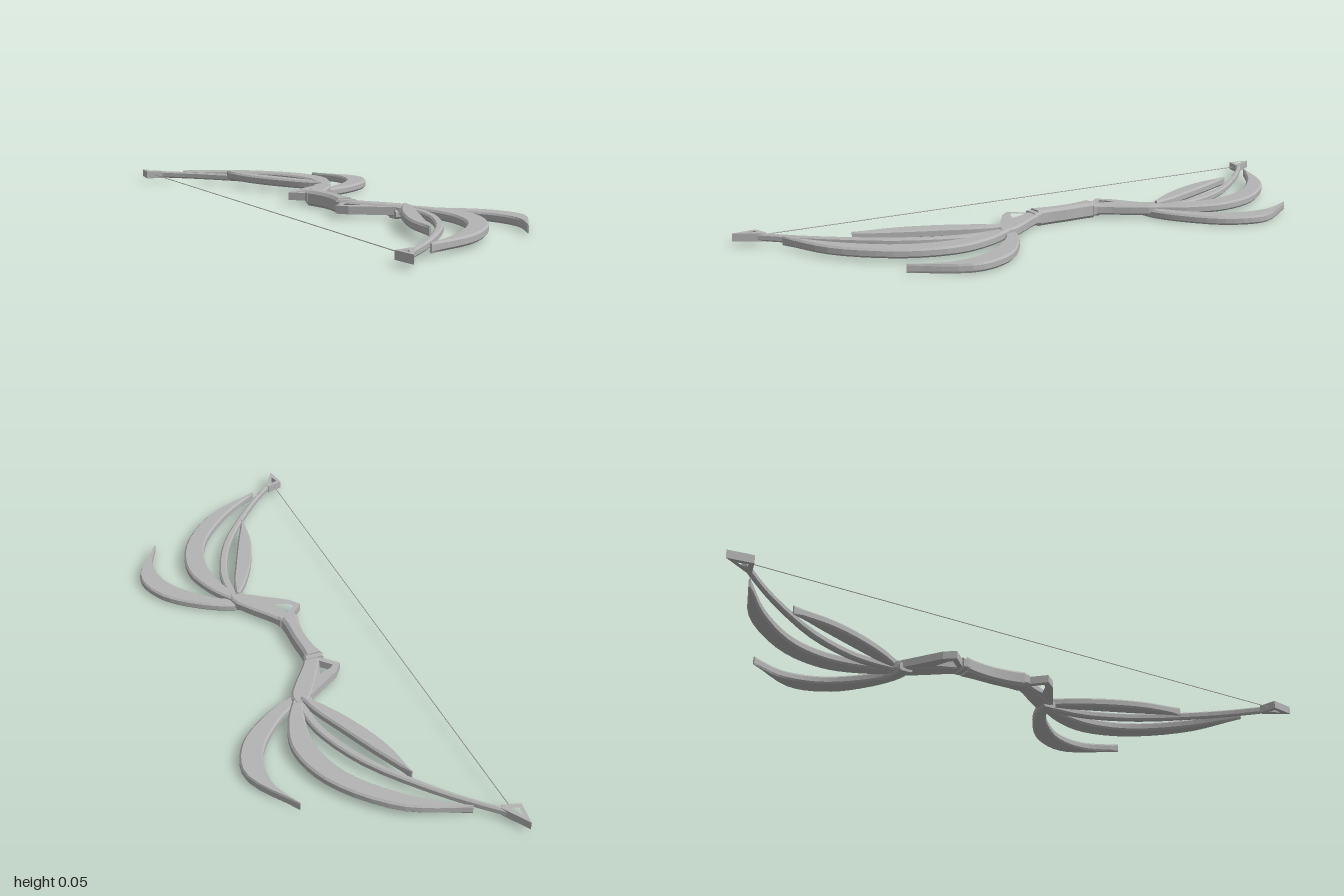
import * as THREE from 'three';

const metal = new THREE.MeshStandardMaterial({ color: 0xb4b4b4 });
metal.name = 'grey metal';

// Chamfered flat blade lofted between two plan edges given as [x, z] points
function blade(name, edgeA, edgeB, y0, y1, side, steps = 16, bevel = 0.006) {
  const curve = (pts) => new THREE.CatmullRomCurve3(
    pts.map(([x, z]) => new THREE.Vector3(x, 0, z * side)), false, 'centripetal');
  const a = curve(edgeA), b = curve(edgeB);
  const pos = [], idx = [];
  for (let i = 0; i <= steps; i++) {
    const p = a.getPoint(i / steps), q = b.getPoint(i / steps);
    const t = Math.min(0.3, bevel / Math.max(p.distanceTo(q), 1e-4));
    const section = [
      [t, y0], [1 - t, y0], [1, y0 + bevel], [1, y1 - bevel],
      [1 - t, y1], [t, y1], [0, y1 - bevel], [0, y0 + bevel]];
    for (const [u, y] of section) pos.push(p.x + (q.x - p.x) * u, y, p.z + (q.z - p.z) * u);
  }
  for (let i = 0; i < steps; i++) {
    for (let j = 0; j < 8; j++) {
      const k = (j + 1) % 8, m = i * 8, n = m + 8;
      idx.push(m + j, n + j, n + k, m + j, n + k, m + k);
    }
  }
  const e = steps * 8;
  for (let j = 1; j < 7; j++) idx.push(0, j, j + 1, e, e + j + 1, e + j);
  // Turn the faces outward when the signed volume is negative
  let volume = 0;
  const v = (i) => new THREE.Vector3().fromArray(pos, i * 3);
  for (let i = 0; i < idx.length; i += 3) volume += v(idx[i]).dot(v(idx[i + 1]).cross(v(idx[i + 2])));
  if (volume < 0) idx.reverse();
  const indexed = new THREE.BufferGeometry();
  indexed.setAttribute('position', new THREE.Float32BufferAttribute(pos, 3));
  indexed.setIndex(idx);
  const geo = indexed.toNonIndexed();
  geo.computeVertexNormals();
  const mesh = new THREE.Mesh(geo, metal);
  mesh.name = name;
  return mesh;
}

// Flat plate with a hole, outlined in plan
function frame(name, outline, hole, y0, y1, side) {
  const pts = (list) => list.map(([x, z]) => new THREE.Vector2(x, z * side));
  const shape = new THREE.Shape(pts(outline));
  shape.holes.push(new THREE.Path(pts(hole)));
  const geo = new THREE.ExtrudeGeometry(shape, { depth: y1 - y0, bevelEnabled: false });
  geo.rotateX(Math.PI / 2).translate(0, y1, 0);
  const mesh = new THREE.Mesh(geo, metal);
  mesh.name = name;
  return mesh;
}

function limb(side) {
  const g = new THREE.Group();
  g.name = side > 0 ? 'frontLimb' : 'backLimb';
  g.add(
    // Arm from the grip to the root of the blades
    blade('arm', [[-0.07, 0.1], [-0.048, 0.15], [0.035, 0.285], [0.06, 0.305]],
      [[-0.02, 0.1], [0.004, 0.14], [0.088, 0.26], [0.09, 0.3]], 0.01, 0.042, side, 8),
    blade('collar', [[-0.078, 0.1], [-0.075, 0.122]],
      [[-0.016, 0.1], [-0.012, 0.122]], 0.007, 0.045, side, 1),
    // Angular bracket beside the arm
    frame('elbowBracket',
      [[-0.045, 0.1], [-0.112, 0.168], [-0.085, 0.203], [0.045, 0.29], [0.07, 0.275], [-0.015, 0.135]],
      [[-0.055, 0.135], [-0.087, 0.168], [-0.075, 0.18], [-0.032, 0.197]], 0.013, 0.038, side),
    // Slim bow limb carrying the string
    blade('bowLimb',
      [[0.06, 0.29], [0.058, 0.38], [0.042, 0.46], [-0.02, 0.6], [-0.127, 0.75], [-0.21, 0.845], [-0.305, 0.935]],
      [[0.085, 0.29], [0.085, 0.38], [0.068, 0.465], [0.003, 0.61], [-0.112, 0.762], [-0.198, 0.855], [-0.293, 0.945]],
      0.014, 0.037, side, 18, 0.005),
    // Broad crescent blade
    blade('broadBlade',
      [[0.06, 0.29], [0.09, 0.38], [0.102, 0.5], [0.063, 0.632], [-0.06, 0.777], [-0.207, 0.883]],
      [[0.085, 0.27], [0.143, 0.37], [0.172, 0.49], [0.13, 0.643], [-0.017, 0.807], [-0.203, 0.888]],
      0.012, 0.04, side, 22),
    // Forward hooked blade
    blade('hookBlade',
      [[0.03, 0.29], [0.1, 0.3], [0.188, 0.372], [0.254, 0.465], [0.272, 0.58], [0.228, 0.692]],
      [[0.03, 0.245], [0.1, 0.257], [0.2, 0.31], [0.297, 0.4], [0.333, 0.52], [0.232, 0.694]],
      0.002, 0.029, side, 22),
    // Leaf blade on the string side
    blade('leafBlade',
      [[0.055, 0.29], [0.012, 0.35], [-0.045, 0.458], [-0.088, 0.58], [-0.105, 0.708]],
      [[0.07, 0.29], [0.052, 0.36], [0.016, 0.447], [-0.04, 0.58], [-0.1, 0.71]],
      0.022, 0.05, side, 16),
    // Triangular string nock
    frame('stringNock',
      [[-0.322, 1], [-0.333, 0.923], [-0.278, 0.908], [-0.273, 0.92]],
      [[-0.313, 0.965], [-0.32, 0.935], [-0.297, 0.928]], 0.013, 0.038, side));
  return g;
}

export function createModel() {
  const model = new THREE.Group();
  model.name = 'bow';
  // Curved waisted grip
  model.add(blade('grip',
    [[-0.078, -0.105], [-0.069, -0.07], [-0.062, 0], [-0.069, 0.07], [-0.078, 0.105]],
    [[-0.02, -0.105], [-0.022, -0.07], [-0.02, 0], [-0.022, 0.07], [-0.02, 0.105]],
    0, 0.05, 1, 12, 0.009));
  for (const side of [1, -1]) model.add(limb(side));
  const string = new THREE.Mesh(new THREE.CylinderGeometry(0.0015, 0.0015, 1.85, 6), metal);
  string.name = 'bowString';
  string.rotation.x = Math.PI / 2;
  string.position.set(-0.305, 0.026, 0);
  model.add(string);
  return model;
}
